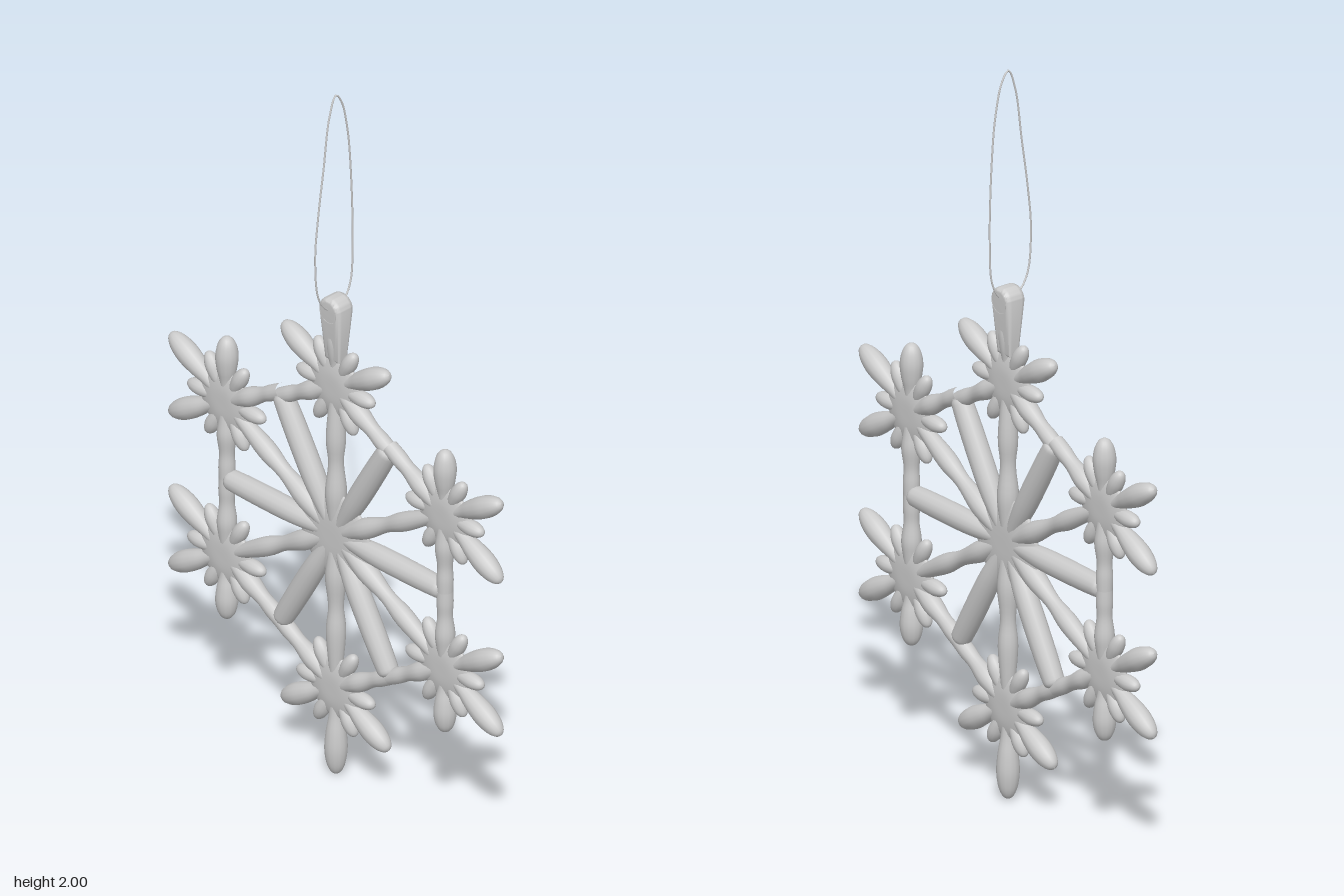
import * as THREE from 'three';
import { toCreasedNormals } from 'three/addons/utils/BufferGeometryUtils.js';

const grey = new THREE.MeshStandardMaterial({ color: 0xcccccc });
const CENTRE_X = 0.006, CENTRE_Y = 0.705, STAR_RADIUS = 0.45;

// Revolved part from [radius, distance] pairs
function revolve(name, profile, sides) {
  const curve = new THREE.SplineCurve(profile.map(([r, d]) => new THREE.Vector2(r, d)));
  const pts = curve.getPoints(22).map(p => new THREE.Vector2(Math.max(p.x, 0), p.y));
  const mesh = new THREE.Mesh(new THREE.LatheGeometry(pts, sides), grey);
  mesh.name = name;
  return mesh;
}

// Round arm along a direction in the yz plane
function addArm(parent, name, angle, profile) {
  const arm = revolve(name, profile, 14);
  arm.rotation.x = angle;
  parent.add(arm);
}

// Thin lens that webs the arm roots together
function addHub(parent, r, half) {
  const hub = revolve('hub', [[0, -half], [r * 0.45, -half * 0.95], [r * 0.85, -half * 0.55],
    [r, 0], [r * 0.85, half * 0.55], [r * 0.45, half * 0.95], [0, half]], 36);
  hub.rotation.z = Math.PI / 2;
  parent.add(hub);
}

// Petal: thin at the root, fattest beyond the middle, softly pointed
const petal = (len, r) => [
  [0.013, 0], [r * 0.6, len * 0.3], [r * 0.87, len * 0.5],
  [r, len * 0.7], [r * 0.82, len * 0.87], [r * 0.45, len * 0.97], [0, len]
];

// Small star; angle 0 is the top of the ornament
function makeStar(index) {
  const star = new THREE.Group();
  star.name = 'star';
  const angle = index * Math.PI / 3;
  const radius = index === 0 ? STAR_RADIUS - 0.012 : STAR_RADIUS;
  star.position.set(0, Math.cos(angle) * radius, Math.sin(angle) * radius);
  addHub(star, 0.09, 0.019);
  const onAxis = index % 3 === 0;
  for (let k = 0; k < 6; k++) {
    const a = angle + k * Math.PI / 3;
    const vertical = Math.abs(Math.sin(a)) < 0.01;
    if (k === 0 && index === 0) {
      addArm(star, 'hangerArm', a, petal(0.19, 0.025));
    } else if (k === 0 || k === 1 || k === 5) {
      const len = onAxis ? (k === 0 ? 0.255 : 0.218) : (vertical ? 0.19 : 0.232);
      addArm(star, 'largePetal', a, petal(len, 0.03));
    } else if (k !== 3) {
      // Links meeting the neighbouring star half way
      addArm(star, 'linkArm', a, [[0.013, 0], [0.022, 0.06], [0.026, 0.1],
        [0.02, 0.15], [0.022, 0.19], [0.021, 0.228]]);
    }
    addArm(star, 'smallPetal', a + Math.PI / 6, petal(0.137, 0.021));
  }
  return star;
}

// Tab with a hole, thickening towards its top
function makeHangerTab() {
  const shape = new THREE.Shape();
  shape.moveTo(-0.026, 1.22);
  shape.lineTo(0.026, 1.22);
  shape.lineTo(0.037, 1.371);
  shape.absarc(0, 1.371, 0.037, 0, Math.PI, false);
  shape.closePath();
  const hole = new THREE.Path();
  hole.absarc(0, 1.367, 0.017, 0, Math.PI * 2, true);
  shape.holes.push(hole);
  const geo = new THREE.ExtrudeGeometry(shape, {
    depth: 0.03, bevelEnabled: true, bevelThickness: 0.014, bevelSize: 0.012,
    bevelOffset: -0.012, bevelSegments: 4, curveSegments: 16
  });
  geo.translate(0, 0, -0.015);
  geo.rotateY(Math.PI / 2);
  const pos = geo.attributes.position;
  for (let i = 0; i < pos.count; i++) {
    const t = THREE.MathUtils.clamp((pos.getY(i) - 1.22) / 0.15, 0, 1);
    pos.setX(i, pos.getX(i) * (0.6 + 0.45 * t));
  }
  const mesh = new THREE.Mesh(toCreasedNormals(geo, 0.8), grey);
  mesh.name = 'hangerTab';
  mesh.position.x = CENTRE_X;
  return mesh;
}

// Thin closed cord threaded through the tab
function makeCord() {
  const points = [
    [0.005, 1.998], [-0.018, 1.94], [-0.038, 1.8], [-0.058, 1.66], [-0.068, 1.55],
    [-0.058, 1.43], [-0.032, 1.385], [0.004, 1.367], [0.036, 1.385], [0.058, 1.43],
    [0.065, 1.55], [0.059, 1.75], [0.047, 1.88], [0.026, 1.97]
  ].map(([x, y]) => new THREE.Vector3(x, y, 0));
  const path = new THREE.CatmullRomCurve3(points, true);
  const mesh = new THREE.Mesh(new THREE.TubeGeometry(path, 120, 0.0025, 8, true), grey);
  mesh.name = 'cord';
  return mesh;
}

export function createModel() {
  const model = new THREE.Group();
  model.name = 'snowflakeOrnament';
  const flake = new THREE.Group();
  flake.name = 'snowflake';
  flake.position.set(CENTRE_X, CENTRE_Y, 0);
  addHub(flake, 0.125, 0.02);
  model.add(flake);

  for (let i = 0; i < 6; i++) {
    const a = i * Math.PI / 3;
    flake.add(makeStar(i));
    // Wavy spoke to each star
    addArm(flake, 'spoke', a, [[0.014, 0], [0.023, 0.07], [0.028, 0.13], [0.02, 0.21],
      [0.026, 0.28], [0.021, 0.36], [0.012, 0.45]]);
    // Straight bar to the joint between two stars
    addArm(flake, 'bar', a + Math.PI / 6, [[0.014, 0], [0.024, 0.08], [0.03, 0.15],
      [0.031, 0.25], [0.029, 0.35], [0.024, 0.38], [0, 0.392]]);
  }

  model.add(makeHangerTab(), makeCord());
  return model;
}
